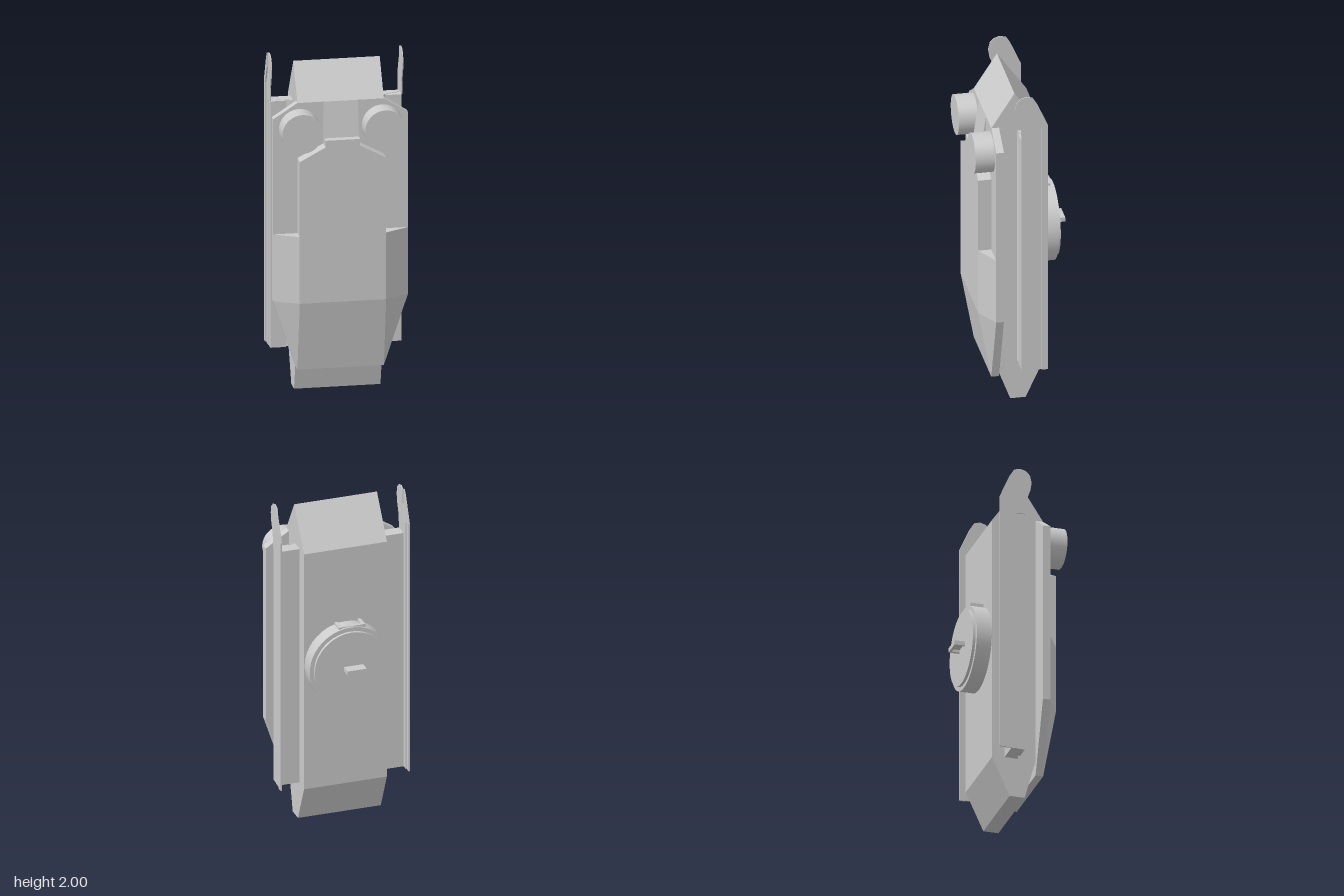
import * as THREE from 'three';
import { ConvexGeometry } from 'three/addons/geometries/ConvexGeometry.js';

const grey = new THREE.MeshStandardMaterial({ color: 0xcccccc });

const extrude = (pts, depth) => new THREE.ExtrudeGeometry(
  new THREE.Shape(pts.map(([a, b]) => new THREE.Vector2(a, b))),
  { depth, bevelEnabled: false });

// outline in (x, y), from z0 to z1
const alongZ = (pts, z0, z1) => extrude(pts, z1 - z0).translate(0, 0, z0);
// outline in (z, y), from x0 to x1
const alongX = (pts, x0, x1) => extrude(pts, x1 - x0).rotateY(-Math.PI / 2).translate(x1, 0, 0);
// outline in (x, z), from y0 to y1
const alongY = (pts, y0, y1) => extrude(pts, y1 - y0).rotateX(Math.PI / 2).translate(0, y1, 0);
// half outline on +x, mirrored to a closed one
const mirrored = (half) => [...half, ...half.map(([x, y]) => [-x, y]).reverse()];
const box = (x0, x1, y0, y1, z0, z1) => new THREE.BoxGeometry(x1 - x0, y1 - y0, z1 - z0)
  .translate((x0 + x1) / 2, (y0 + y1) / 2, (z0 + z1) / 2);
// disc with its axis along z
const disc = (x, y, z0, z1, rFront, rBack, n) => new THREE.CylinderGeometry(rFront, rBack, z1 - z0, n)
  .rotateX(Math.PI / 2).translate(x, y, (z0 + z1) / 2);

export function createModel() {
  const model = new THREE.Group();
  const add = (name, geometry, parent = model) => {
    const mesh = new THREE.Mesh(geometry, grey);
    mesh.name = name;
    parent.add(mesh);
  };

  // Core body with sloped ends
  add('hull', alongX([[0.07, 0], [0.11, 0.15], [0.135, 0.24], [0.135, 1.7], [0.18, 1.75],
    [0.045, 1.96], [-0.125, 1.72], [-0.125, 0.23], [-0.02, 0]], -0.25, 0.25));

  // Layered front armour
  const armour = new THREE.Group();
  armour.name = 'frontArmour';
  model.add(armour);
  add('basePlate', alongZ(mirrored([[0.25, 0.15], [0.39, 0.57], [0.39, 1.66], [0.25, 1.75]]),
    0.135, 0.18), armour);
  add('raisedPlate', alongZ(mirrored([[0.25, 0.57], [0.25, 1.42], [0.1, 1.5], [0.1, 1.54]]),
    0.175, 0.257), armour);
  const lower = [];
  for (const s of [1, -1]) {
    for (const [x, y, z] of [[0.39, 0.57, 0.18], [0.39, 0.97, 0.18], [0.25, 0.57, 0.257],
      [0.25, 0.97, 0.257], [0.25, 0.15, 0.18]]) lower.push(new THREE.Vector3(s * x, y, z));
  }
  add('lowerBevelPlate', new ConvexGeometry(lower), armour);
  add('noseWedge', alongX([[0.17, 1.5], [0.212, 1.5], [0.212, 1.54], [0.18, 1.75], [0.17, 1.75]],
    -0.1, 0.1), armour);

  // Headlights, side rails and upright fins
  for (const s of [1, -1]) {
    const side = new THREE.Group();
    side.name = s > 0 ? 'leftSide' : 'rightSide';
    model.add(side);
    const flip = (pts) => pts.map(([x, z]) => [s * x, z]);
    const sheet = (pts, x0, x1) => (s > 0 ? alongX(pts, x0, x1) : alongX(pts, -x1, -x0));

    add('headlight', disc(s * 0.24, 1.597, 0.17, 0.292, 0.117, 0.117, 40), side);
    add('sideRail', alongY(flip([[0.25, -0.05], [0.38, -0.05], [0.38, -0.02], [0.25, 0.03]]),
      0.24, 1.72), side);
    add('railBlock', alongY(flip([[0.29, 0.03], [0.38, 0.03], [0.38, -0.02], [0.29, 0.0146]]),
      0.24, 1.718), side);
    add('finFront', sheet([[-0.02, 0.24], [-0.02, 1.72], [0.03, 1.72], [0.036, 1.8], [0.062, 1.87],
      [0.07, 1.92], [0.06, 1.965], [0.035, 1.99], [0, 2], [-0.035, 1.99], [-0.035, 1.9],
      [-0.085, 1.8], [-0.085, 0.24]], 0.377, 0.383), side);
    add('finRear', sheet([[-0.085, 0.24], [-0.085, 1.8], [-0.035, 1.9], [-0.035, 1.99],
      [-0.06, 1.95], [-0.122, 1.81], [-0.122, 0.24]], 0.382, 0.39), side);
  }

  // Round rear hatch with its handle and hinge frame
  const hatch = new THREE.Group();
  hatch.name = 'rearHatch';
  model.add(hatch);
  add('hatchRing', disc(0, 1.01, -0.214, -0.12, 0.247, 0.247, 48), hatch);
  add('hatchLid', disc(0, 1.01, -0.23, -0.21, 0.222, 0.222, 48), hatch);
  add('handleTop', box(-0.07, 0.046, 1.012, 1.021, -0.292, -0.225), hatch);
  add('handleGrip', box(-0.07, 0.046, 0.995, 1.013, -0.292, -0.277), hatch);
  for (const x of [-0.07, 0.031]) add('handleLeg', box(x, x + 0.015, 0.995, 1.013, -0.28, -0.225), hatch);
  add('hingeBar', box(-0.092, 0.067, 1.2, 1.26, -0.203, -0.184), hatch);
  for (const x of [-0.092, 0.047]) add('hingeArm', box(x, x + 0.02, 1.2, 1.26, -0.19, -0.12), hatch);

  return model;
}
